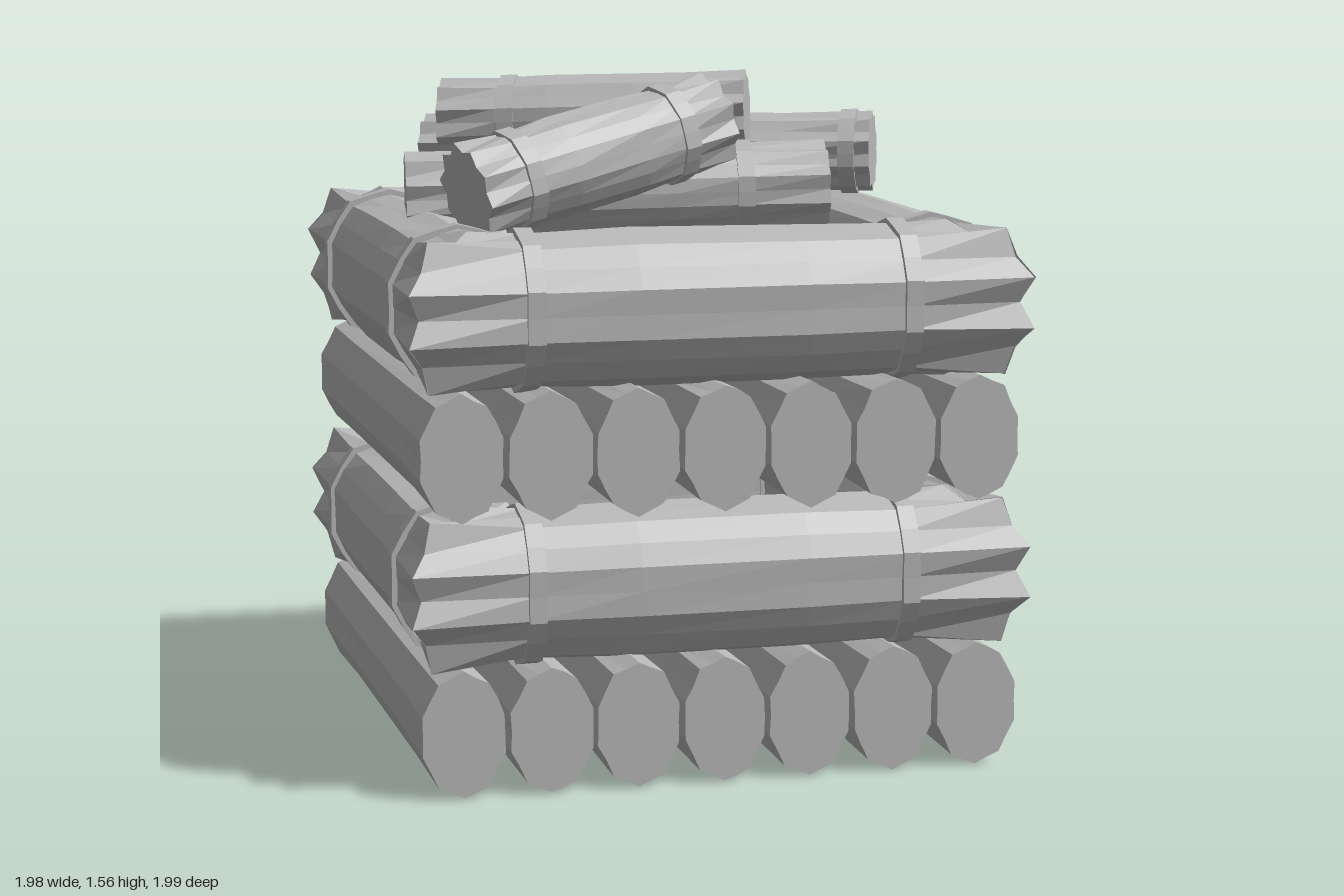
import * as THREE from 'three';

const wood = new THREE.MeshStandardMaterial({ color: 0xb8b8b8, flatShading: true });
wood.name = 'plain grey';

// Small seeded generator for uneven hand-cut shapes
let seed = 7;
const rand = () => (seed = (seed * 16807) % 2147483647) / 2147483647 - 0.5;

const SIDES = 20;

// Closed body along x. Each station is [x, radius factor, groove factor, squareness];
// odd corners follow the groove. The mitre cuts both ends at 45 degrees, longest at +z.
function loft(stations, ry, rz, wobble = 0, mitre = Infinity) {
  const pos = [], index = [];
  for (const [x, r, groove, p = 2] of stations) {
    for (let k = 0; k < SIDES; k++) {
      const a = (k / SIDES) * Math.PI * 2 + Math.PI / 10;
      const c = Math.cos(a), s = Math.sin(a);
      const square = (Math.abs(c) ** p + Math.abs(s) ** p) ** (-1 / p);
      const f = r * square * (k % 2 ? groove : 1) * (1 + wobble * rand());
      const z = c * rz * f;
      pos.push(Math.sign(x) * Math.min(Math.abs(x), mitre + z), s * ry * f, z);
    }
  }
  const last = stations.length - 1;
  for (let j = 0; j < last; j++) {
    for (let k = 0; k < SIDES; k++) {
      const a = j * SIDES + k, b = j * SIDES + (k + 1) % SIDES;
      index.push(a, a + SIDES, b + SIDES, a, b + SIDES, b);
    }
  }
  // End caps
  const c0 = pos.length / 3;
  for (const j of [0, last]) {
    const x = stations[j][0];
    pos.push(Math.sign(x) * Math.min(Math.abs(x), mitre), 0, 0);
  }
  for (let k = 0; k < SIDES; k++) {
    const n = (k + 1) % SIDES;
    index.push(c0, k, n, c0 + 1, last * SIDES + n, last * SIDES + k);
  }
  const g = new THREE.BufferGeometry();
  g.setAttribute('position', new THREE.Float32BufferAttribute(pos, 3));
  g.setIndex(index);
  const flat = g.toNonIndexed();
  flat.computeVertexNormals();
  return flat;
}

function part(name, geometry, parent) {
  const m = new THREE.Mesh(geometry, wood);
  m.name = name;
  parent.add(m);
  return m;
}

// Log with pleated, flared ends and straps at the given x positions
function strappedLog({ name, half, ry, rz, neck, straps, wobble, square = 2, endSquare = 2, mitre }) {
  const g = new THREE.Group();
  g.name = name;
  part('logBody', loft([
    [-half, 1, 0.84, endSquare], [-neck, 0.96, 0.96, square], [-neck * 0.45, 0.99, 0.96, square],
    [neck * 0.45, 0.99, 0.96, square], [neck, 0.96, 0.96, square], [half, 1, 0.84, endSquare],
  ], ry, rz, wobble, mitre), g);
  for (const x of straps) {
    part('strap', loft([
      [x - 0.02, 1.03, 0.96, square], [x + 0.02, 1.03, 0.96, square],
    ], ry, rz, 0, mitre), g);
  }
  return g;
}

export function createModel() {
  seed = 7;
  const model = new THREE.Group();
  model.name = 'logPile';

  // Square stack, turned on its base
  const stack = new THREE.Group();
  stack.name = 'stack';
  stack.rotation.y = THREE.MathUtils.degToRad(35);
  model.add(stack);

  // Two decks of seven parallel logs
  for (const y of [0.15, 0.765]) {
    for (let i = -3; i <= 3; i++) {
      const log = part('deckLog', loft([
        [-0.685, 1, 0.95], [-0.4, 0.96, 0.95], [0.4, 0.96, 0.95], [0.685, 1, 0.95],
      ], 0.143, 0.097, 0.04), stack);
      log.rotation.y = Math.PI / 2;
      log.position.set(i * 0.198, y, 0);
    }
  }

  // Two square frames of strapped logs, mitred at the corners
  for (const y of [0.455, 1.07]) {
    for (let i = 0; i < 4; i++) {
      const side = new THREE.Group();
      side.name = 'frameSide';
      side.rotation.y = i * Math.PI / 2;
      const log = strappedLog({
        name: 'frameLog', half: 0.73, ry: 0.178, rz: 0.158, neck: 0.43, straps: [-0.43, 0.43],
        wobble: 0.03, square: 2.3, endSquare: 4, mitre: 0.553,
      });
      log.position.set(0, y, 0.553);
      side.add(log);
      stack.add(side);
    }
  }

  // Loose logs on top: start, end, radius, strap positions as a share of half the length
  const loose = [
    [[-0.67, 1.33, -0.2], [0.43, 1.35, -0.41], 0.1, [-0.66, 0.9]],
    [[-0.54, 1.425, -0.01], [0.18, 1.45, -0.19], 0.105, [-0.55]],
    [[-0.49, 1.27, 0.32], [0.4, 1.29, -0.12], 0.11, [-0.6, 0.6]],
    [[-0.22, 1.31, 0.58], [0.18, 1.45, 0.06], 0.115, [-0.62, 0.62]],
  ];
  for (const [from, to, r, straps] of loose) {
    const a = new THREE.Vector3(...from), b = new THREE.Vector3(...to);
    const half = a.distanceTo(b) / 2;
    const log = strappedLog({
      name: 'looseLog', half, ry: r, rz: r, neck: half * 0.62, straps: straps.map(s => s * half), wobble: 0.06,
    });
    log.quaternion.setFromUnitVectors(new THREE.Vector3(1, 0, 0), b.clone().sub(a).normalize());
    log.position.copy(a).add(b).multiplyScalar(0.5);
    model.add(log);
  }
  return model;
}
